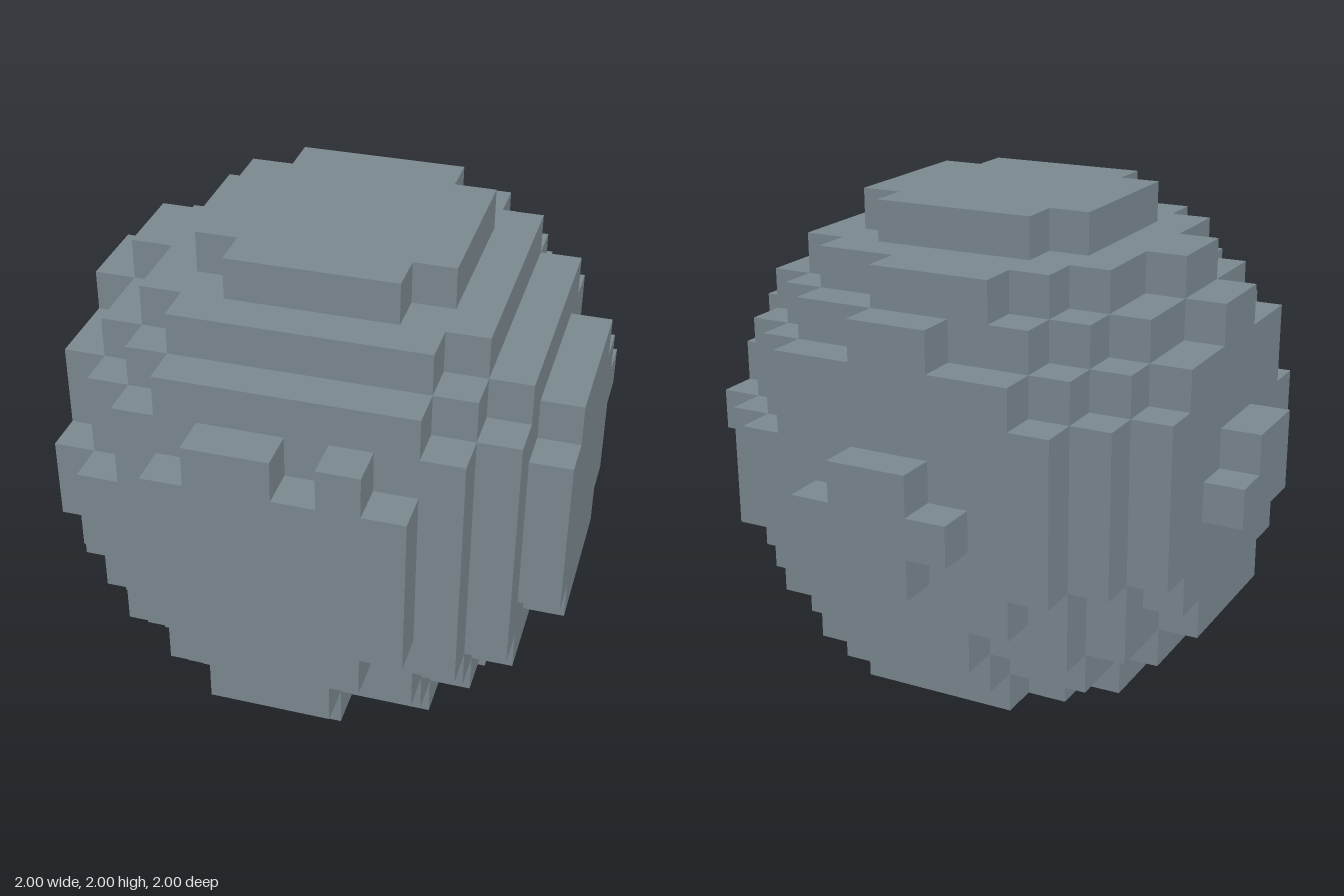
import * as THREE from 'three';

const N = 13, CELL = 2 / N;      // blocks along each side, block size
const CENTRE = 6.85, R2 = 42.7;  // slightly off-centre ball, in blocks

const key = (p) => p.join(',');

// Blocks worn away from the ball, and blocks stuck onto it
const missing = new Set([
  [7, 9, 12],                         // notch in the front cap
  [5, 7, 0],                          // back knob
  [0, 5, 6], [0, 5, 7], [0, 7, 5],    // right-hand knob
  [5, 0, 7],                          // bottom knob
  [11, 2, 6], [11, 2, 7], [2, 5, 11], [2, 11, 5],
].map(key));
const extra = new Set([[8, 6, 0], [8, 0, 6], [12, 7, 3]].map(key));

function filled(p) {
  if (p.some((i) => i < 0 || i >= N)) return false;
  const k = key(p);
  if (extra.has(k)) return true;
  if (missing.has(k)) return false;
  return p.reduce((s, i) => s + (i + 0.5 - CENTRE) ** 2, 0) <= R2;
}

// Surface of the block ball: one quad per exposed block side
function blockSurface() {
  const positions = [], normals = [], index = [];
  const addSide = (p, axis, sign) => {
    const u = (axis + 1) % 3, v = (axis + 2) % 3;
    const start = positions.length / 3;
    for (const [a, b] of [[0, 0], [1, 0], [1, 1], [0, 1]]) {
      const c = [...p];
      c[u] += a;
      c[v] += b;
      if (sign > 0) c[axis] += 1;
      positions.push(c[0] * CELL - 1, c[1] * CELL, c[2] * CELL - 1);
      const n = [0, 0, 0];
      n[axis] = sign;
      normals.push(...n);
    }
    const order = sign > 0 ? [0, 1, 2, 0, 2, 3] : [0, 2, 1, 0, 3, 2];
    index.push(...order.map((i) => start + i));
  };

  for (let x = 0; x < N; x++) for (let y = 0; y < N; y++) for (let z = 0; z < N; z++) {
    const p = [x, y, z];
    if (!filled(p)) continue;
    for (let axis = 0; axis < 3; axis++) for (const sign of [-1, 1]) {
      const q = [...p];
      q[axis] += sign;
      if (!filled(q)) addSide(p, axis, sign);
    }
  }

  const geometry = new THREE.BufferGeometry();
  geometry.setAttribute('position', new THREE.Float32BufferAttribute(positions, 3));
  geometry.setAttribute('normal', new THREE.Float32BufferAttribute(normals, 3));
  geometry.setIndex(index);
  return geometry;
}

export function createModel() {
  const stone = new THREE.MeshStandardMaterial({ color: 0x7b8a91 });
  stone.name = 'blue grey stone';

  const group = new THREE.Group();
  group.name = 'blockBoulder';
  const boulder = new THREE.Mesh(blockSurface(), stone);
  boulder.name = 'boulder';
  group.add(boulder);
  return group;
}
